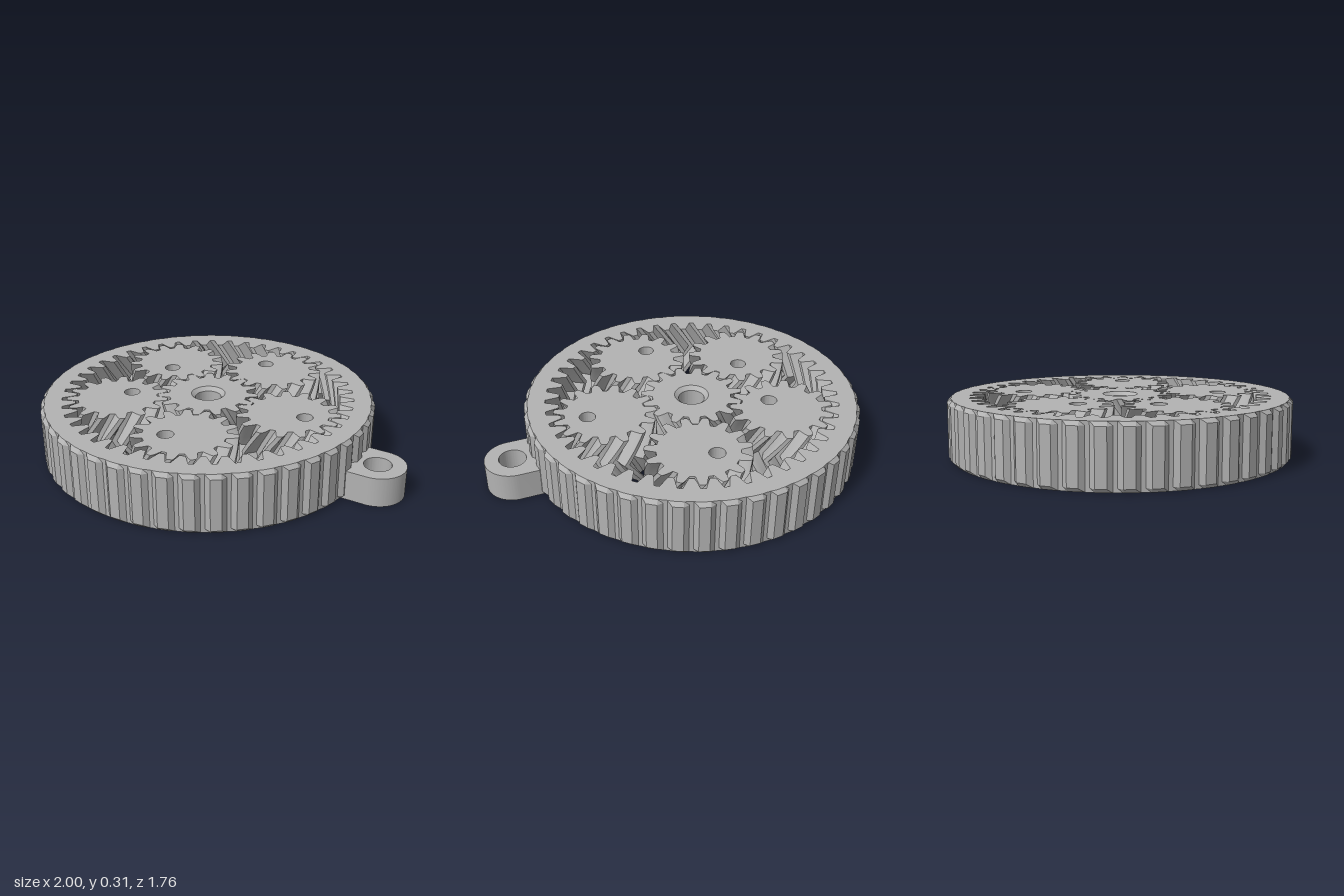
import * as THREE from 'three';
import { toCreasedNormals } from 'three/addons/utils/BufferGeometryUtils.js';

const H = 0.31, STEPS = 16, CX = -0.12, ORBIT = 0.48;
const TEETH = 15, RING_TEETH = 45;

// Closed outline repeating a tooth, given as [radius, half angle] from root to tip
function toothed(count, flank) {
  const pts = [];
  const tooth = [...flank.map(([r, a]) => [r, -a]), ...flank.slice().reverse()];
  for (let i = 0; i < count; i++) {
    const mid = (i / count) * Math.PI * 2;
    for (const [r, a] of tooth) {
      pts.push(new THREE.Vector2(r * Math.cos(mid + a), r * Math.sin(mid + a)));
    }
  }
  return pts;
}

const circle = (x, y, r) => new THREE.Path().absarc(x, y, r, 0, Math.PI * 2, true);

// Extrudes upwards in slices; rule(r, t) returns [new radius, twist],
// with t running from 0 at both faces to 1 at mid height
function slab(shape, height, steps, rule) {
  const geo = new THREE.ExtrudeGeometry(shape, {
    depth: height, steps, bevelEnabled: false, curveSegments: 40,
  });
  if (rule) {
    const p = geo.attributes.position;
    for (let i = 0; i < p.count; i++) {
      const x = p.getX(i), y = p.getY(i), z = p.getZ(i);
      const t = 1 - Math.abs(2 * z / height - 1);
      const [r, twist] = rule(Math.hypot(x, y), t);
      const a = Math.atan2(y, x) + twist;
      p.setXY(i, r * Math.cos(a), r * Math.sin(a));
    }
  }
  geo.rotateX(-Math.PI / 2);
  return toCreasedNormals(geo, 0.35);
}

export function createModel() {
  const group = new THREE.Group();
  const grey = new THREE.MeshStandardMaterial({ color: 0xb2b2b2 });
  grey.name = 'grey plastic';

  const add = (name, geo, x = CX, z = 0, turn = 0) => {
    const mesh = new THREE.Mesh(geo, grey);
    mesh.name = name;
    mesh.position.set(x, 0, z);
    mesh.rotation.y = turn;
    group.add(mesh);
  };

  const gearFlank = [[0.208, 0.145], [0.24, 0.1], [0.258, 0.073], [0.267, 0.048]];
  const pitch = (Math.PI * 2) / TEETH;

  // Outer ring: ridged, chamfered rim with herringbone teeth inside
  const ringShape = new THREE.Shape(toothed(RING_TEETH, [[0.861, 0.058], [0.882, 0.03]]));
  ringShape.holes.push(new THREE.Path(
    toothed(RING_TEETH, [[0.7, 0.051], [0.72, 0.039], [0.772, 0.017]])));
  add('outerRing', slab(ringShape, H, STEPS, (r, t) =>
    r > 0.82 ? [t < 0.01 ? Math.min(r, 0.864) : r, 0]
      : [r, -t * Math.PI * 2 / RING_TEETH]));

  // Sun gear with a countersunk bore
  const sunShape = new THREE.Shape(toothed(TEETH, gearFlank));
  sunShape.holes.push(circle(0, 0, 0.09));
  add('sunGear', slab(sunShape, H, STEPS, (r, t) =>
    r < 0.15 ? [t < 0.01 ? r : 0.068, 0] : [r, t * pitch]));

  // Planet gears, each with an off-centre straight hole
  const planetShape = new THREE.Shape(toothed(TEETH, gearFlank));
  planetShape.holes.push(circle(0.093, 0, 0.042));
  const planet = slab(planetShape, H, STEPS, (r, t) => [r, r < 0.18 ? 0 : -t * pitch]);
  for (let i = 0; i < 5; i++) {
    const a = (i / 5) * Math.PI * 2;
    add('planetGear' + (i + 1), planet,
      CX + ORBIT * Math.cos(a), -ORBIT * Math.sin(a), 2 * a);
  }

  // Hanging lug on the side of the ring
  const lug = new THREE.Shape();
  lug.moveTo(0.7, -0.143);
  lug.lineTo(0.857, -0.143);
  lug.absarc(0.857, 0, 0.143, -Math.PI / 2, Math.PI / 2, false);
  lug.lineTo(0.7, 0.143);
  lug.closePath();
  lug.holes.push(circle(0.857, 0, 0.07));
  add('hangingLug', slab(lug, H / 2, 1), 0);

  return group;
}
